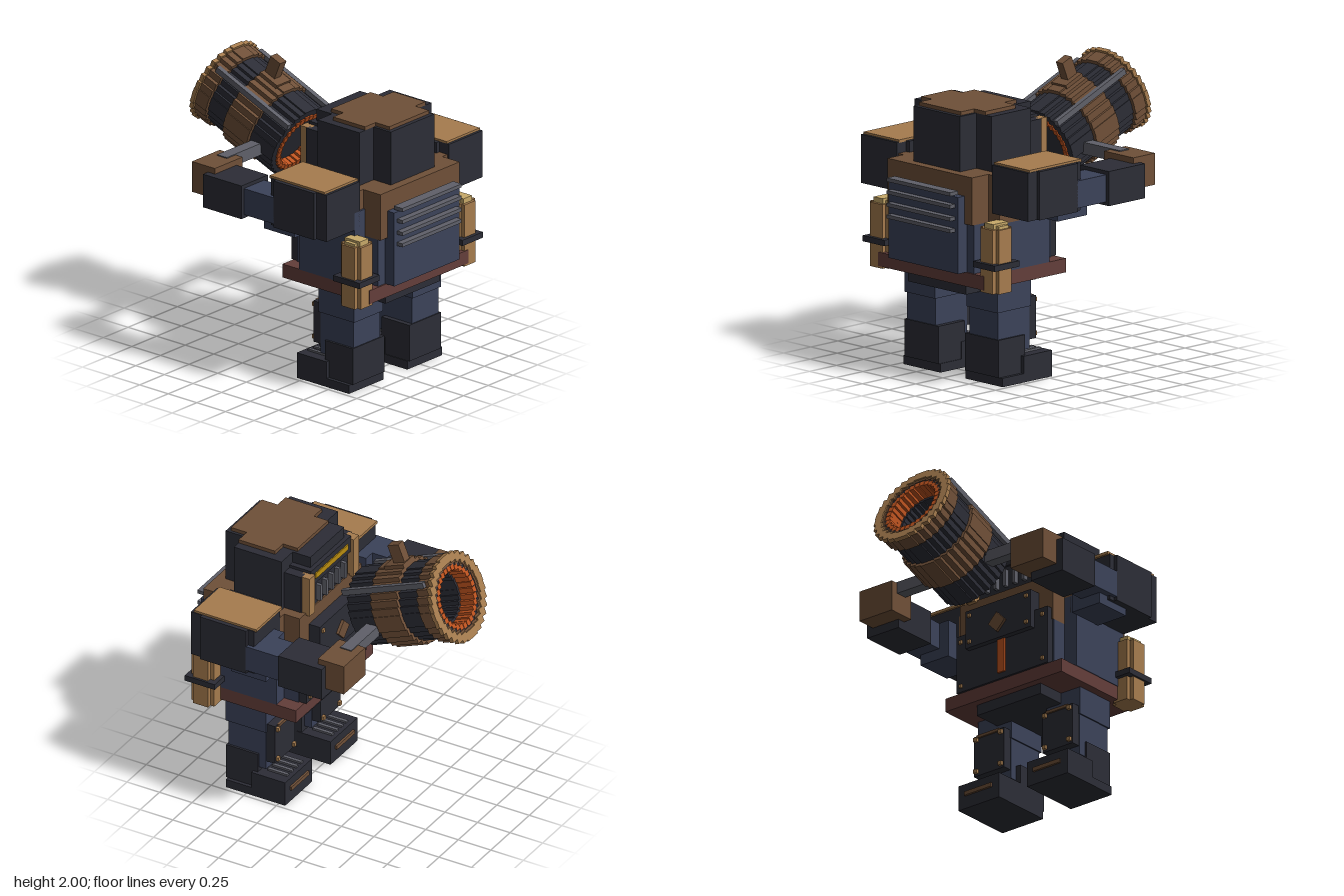
import * as THREE from 'three';

const mat = (name, color) => {
  const m = new THREE.MeshStandardMaterial({ color });
  m.name = name;
  return m;
};

export function createModel() {
  const iron = mat('dark iron', 0x2c2d36);
  const navy = mat('navy cloth', 0x3b4259);
  const bronze = mat('bronze', 0x6f5038);
  const tan = mat('tan brass', 0xa67c4e);
  const leather = mat('red leather', 0x633e3a);
  const grey = mat('grey steel', 0x5f6069);
  const orange = mat('glowing orange', 0xbf5420);
  const pale = mat('pale brass', 0xc8aa6a);
  const yellow = mat('yellow visor', 0xb98c10);

  const model = new THREE.Group();
  const group = (name, parent = model) => {
    const g = new THREE.Group();
    g.name = name;
    parent.add(g);
    return g;
  };
  // Box given by its extents on each axis
  const box = (parent, name, m, x0, x1, y0, y1, z0, z1) => {
    const mesh = new THREE.Mesh(new THREE.BoxGeometry(x1 - x0, y1 - y0, z1 - z0), m);
    mesh.position.set((x0 + x1) / 2, (y0 + y1) / 2, (z0 + z1) / 2);
    mesh.name = name;
    parent.add(mesh);
    return mesh;
  };
  // The same box on both sides of x = 0
  const pair = (parent, name, m, x0, x1, ...r) => {
    box(parent, name + 'Left', m, x0, x1, ...r);
    box(parent, name + 'Right', m, -x1, -x0, ...r);
  };
  // Box centred across x = 0
  const mid = (parent, name, m, w, ...r) => box(parent, name, m, -w, w, ...r);

  // Torso and belt
  const torso = group('torso');
  mid(torso, 'pelvis', iron, 0.275, 0.62, 0.70, 0.155, 0.805);
  mid(torso, 'belt', leather, 0.5, 0.695, 0.79, 0.10, 0.86);
  mid(torso, 'waist', navy, 0.4, 0.79, 1.12, 0.14, 0.85);
  box(torso, 'sideLeft', navy, 0.4, 0.5, 0.79, 1.12, 0.25, 0.735);
  box(torso, 'sideRight', navy, -0.505, -0.4, 0.79, 1.31, 0.25, 0.735);
  mid(torso, 'upperChest', bronze, 0.4, 1.12, 1.445, 0.13, 0.87);
  box(torso, 'collarLeft', bronze, 0.4, 0.505, 1.12, 1.445, 0.25, 0.72);
  box(torso, 'collarRight', bronze, -0.505, -0.4, 1.31, 1.445, 0.25, 0.72);
  mid(torso, 'ventPanel', navy, 0.33, 0.79, 1.31, 0.85, 0.93);
  for (const y of [1.07, 1.15, 1.235, 1.32]) mid(torso, 'ventSlat', grey, 0.3, y, y + 0.025, 0.9, 0.975);

  // Riveted armour plates
  mid(torso, 'lowerPlate', iron, 0.39, 0.79, 1.2, 0.085, 0.14);
  mid(torso, 'upperPlate', iron, 0.28, 1.07, 1.34, 0.045, 0.13);
  mid(torso, 'glowStrip', orange, 0.03, 0.83, 1.07, 0.072, 0.09);
  const badge = mid(torso, 'diamondBadge', bronze, 0.05, 1.13, 1.23, 0.025, 0.06);
  badge.rotation.z = Math.PI / 4;
  for (const [x, y, z] of [[0.35, 0.83, 0.07], [0.35, 1.15, 0.07], [0.245, 1.11, 0.03], [0.245, 1.3, 0.03]])
    pair(torso, 'plateRivet', tan, x - 0.012, x + 0.012, y - 0.012, y + 0.012, z, z + 0.02);

  // Head with stepped corners, cap and visor
  const head = group('head');
  mid(head, 'headWide', iron, 0.365, 1.445, 1.82, 0.29, 0.655);
  mid(head, 'headDeep', iron, 0.22, 1.44, 1.82, 0.155, 0.805);
  mid(head, 'capWide', bronze, 0.305, 1.82, 1.845, 0.375, 0.655);
  mid(head, 'capDeep', bronze, 0.2, 1.82, 1.845, 0.265, 0.775);
  mid(head, 'visorFrame', iron, 0.26, 1.62, 1.74, 0.125, 0.3);
  mid(head, 'visorSlit', yellow, 0.21, 1.66, 1.7, 0.117, 0.126);
  mid(head, 'jaw', iron, 0.24, 1.445, 1.62, 0.14, 0.3);
  for (let i = -2; i <= 2; i++) box(head, 'grilleBar', grey, i * 0.08 - 0.012, i * 0.08 + 0.012, 1.47, 1.59, 0.105, 0.145);
  pair(head, 'cheekGuard', tan, 0.25, 0.32, 1.43, 1.72, 0.1, 0.18);
  pair(head, 'cheekMount', iron, 0.22, 0.33, 1.445, 1.72, 0.16, 0.3);

  // Legs, shin plates and boots
  const legs = group('legs');
  pair(legs, 'thigh', navy, 0.15, 0.44, 0.5, 0.7, 0.365, 0.675);
  pair(legs, 'shin', navy, 0.16, 0.43, 0.21, 0.5, 0.37, 0.66);
  pair(legs, 'bootShaft', iron, 0.125, 0.445, 0.06, 0.315, 0.425, 0.668);
  pair(legs, 'bootSole', iron, 0.12, 0.47, 0, 0.06, 0.2, 0.655);
  pair(legs, 'bootToe', iron, 0.12, 0.47, 0.05, 0.178, 0.2, 0.46);
  pair(legs, 'toeTrim', bronze, 0.18, 0.41, 0.09, 0.118, 0.185, 0.21);
  for (const x of [0.2, 0.26, 0.32, 0.38]) pair(legs, 'toeSlat', grey, x - 0.01, x + 0.015, 0.17, 0.192, 0.23, 0.38);
  pair(legs, 'shinPlate', iron, 0.165, 0.425, 0.27, 0.56, 0.305, 0.372);
  pair(legs, 'shinTrim', bronze, 0.2, 0.39, 0.54, 0.56, 0.293, 0.31);
  for (const x of [0.19, 0.4]) for (const y of [0.3, 0.53])
    pair(legs, 'shinRivet', tan, x - 0.014, x + 0.014, y - 0.014, y + 0.014, 0.285, 0.31);

  // Shoulders, arms and hands
  const arms = group('arms');
  pair(arms, 'shoulderDeep', iron, 0.45, 0.79, 1.19, 1.52, 0.25, 0.735);
  pair(arms, 'shoulderWide', iron, 0.42, 0.815, 1.19, 1.52, 0.295, 0.65);
  pair(arms, 'shoulderCap', tan, 0.45, 0.785, 1.515, 1.535, 0.235, 0.715);
  pair(arms, 'upperArm', navy, 0.53, 0.77, 1.14, 1.4, 0.17, 0.44);
  pair(arms, 'elbow', navy, 0.61, 0.815, 1.215, 1.4, 0.03, 0.3);
  pair(arms, 'forearm', iron, 0.57, 0.84, 1.19, 1.425, -0.3, 0.035);
  pair(arms, 'hand', bronze, 0.51, 0.79, 1.25, 1.465, -0.44, -0.24);
  mid(arms, 'gripBar', grey, 0.6, 1.39, 1.472, -0.385, -0.3);

  // Side canisters
  const canisters = group('canisters');
  pair(canisters, 'canisterWide', tan, 0.435, 0.61, 0.68, 1.115, 0.71, 0.825);
  pair(canisters, 'canisterDeep', tan, 0.465, 0.58, 0.68, 1.115, 0.68, 0.855);
  pair(canisters, 'canisterCapWide', pale, 0.453, 0.595, 1.11, 1.135, 0.725, 0.81);
  pair(canisters, 'canisterCapDeep', pale, 0.48, 0.567, 1.11, 1.15, 0.7, 0.835);
  pair(canisters, 'canisterBand', iron, 0.42, 0.625, 0.845, 0.885, 0.65, 0.88);

  // Cannon: local z runs from the muzzle (0) back to the breech (0.72)
  const cannon = group('cannon');
  cannon.position.set(0, 1.715, -0.85);
  cannon.rotation.x = 0.39;
  const ring = (name, m, r, size, z0, z1, n = 30) => {
    const g = group(name, cannon);
    for (let i = 0; i < n; i++) {
      const a = (i / n) * Math.PI * 2, x = r * Math.cos(a), y = r * Math.sin(a), h = size / 2;
      box(g, 'stave', m, x - h, x + h, y - h, y + h, z0, z1);
    }
  };
  ring('barrel', iron, 0.232, 0.056, 0.01, 0.72);
  ring('muzzleBand', bronze, 0.255, 0.06, 0.005, 0.125);
  ring('muzzleRim', tan, 0.272, 0.06, -0.005, 0.025);
  ring('middleBand', bronze, 0.255, 0.062, 0.29, 0.51);
  ring('muzzleLining', orange, 0.2, 0.036, 0.008, 0.12);
  ring('breechLining', orange, 0.2, 0.036, 0.6, 0.73);
  ring('innerBore', iron, 0.185, 0.04, 0.12, 0.6);
  const plug = new THREE.Mesh(new THREE.CylinderGeometry(0.2, 0.2, 0.38, 24), iron);
  plug.rotation.x = Math.PI / 2;
  plug.position.z = 0.47;
  plug.name = 'borePlug';
  cannon.add(plug);
  pair(cannon, 'rail', grey, 0.193, 0.228, 0.185, 0.225, 0.06, 0.735);
  mid(cannon, 'sightBase', bronze, 0.07, 0.25, 0.3, 0.29, 0.45);
  mid(cannon, 'sight', bronze, 0.032, 0.28, 0.43, 0.3, 0.39);

  return model;
}
